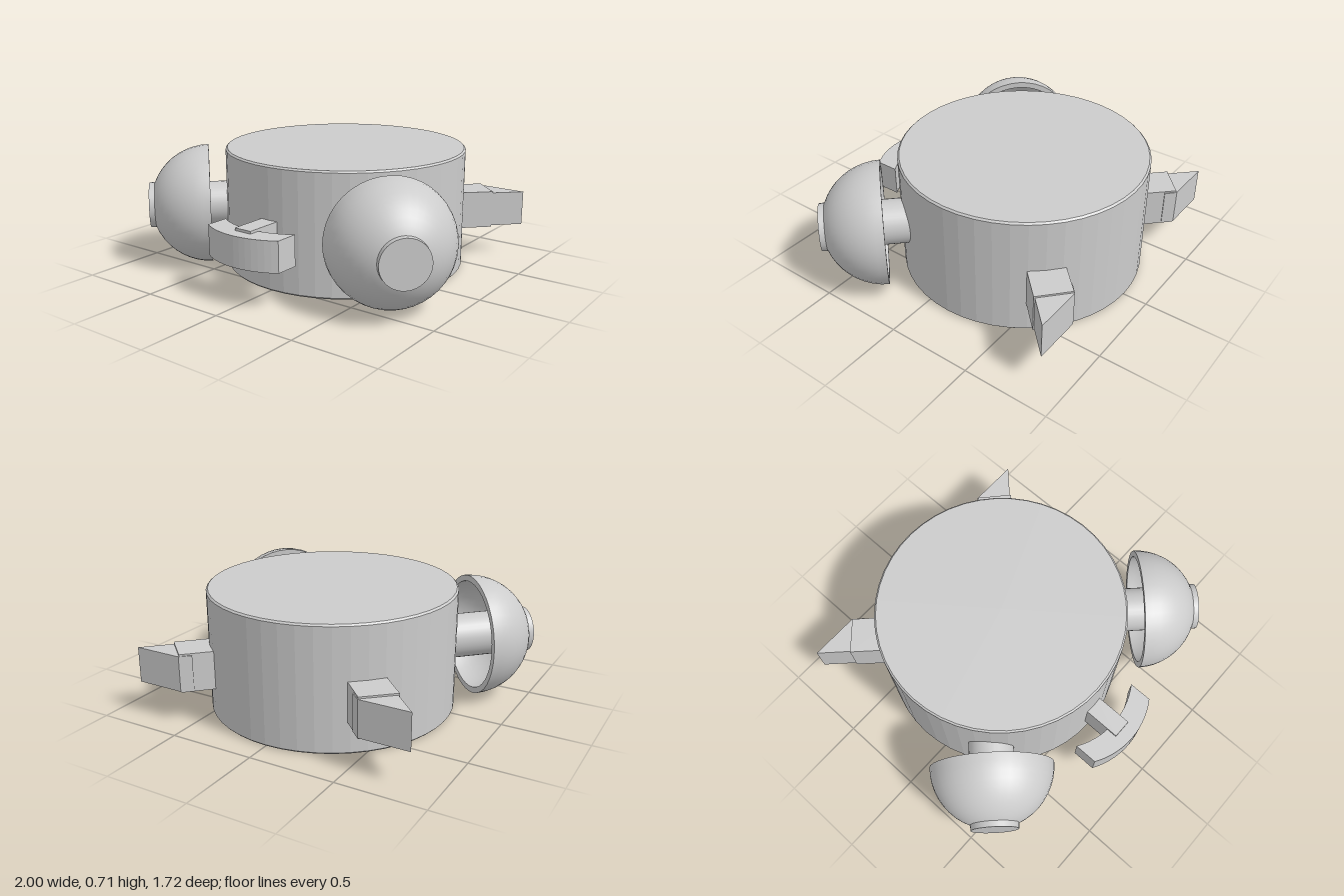
import * as THREE from 'three';
import { toCreasedNormals } from 'three/addons/utils/BufferGeometryUtils.js';

const CZ = -0.145; // body axis in z
const material = new THREE.MeshStandardMaterial({ color: 0xcccccc });

function add(parent, name, geometry, x = 0, y = 0, z = 0) {
  const mesh = new THREE.Mesh(geometry, material);
  mesh.name = name;
  mesh.position.set(x, y, z);
  parent.add(mesh);
  return mesh;
}

function lathe(points, sides, crease) {
  const profile = points.map(([r, y]) => new THREE.Vector2(r, y));
  return toCreasedNormals(new THREE.LatheGeometry(profile, sides), crease);
}

// Plan outline in (x, z) raised from y0 to y1
function slab(points, y0, y1) {
  const shape = new THREE.Shape(points.map(([x, z]) => new THREE.Vector2(x, -z)));
  const geometry = new THREE.ExtrudeGeometry(shape, { depth: y1 - y0, bevelEnabled: false });
  return geometry.rotateX(-Math.PI / 2).translate(0, y0, 0);
}

function arc(cx, cz, r, a0, a1, n) {
  return Array.from({ length: n + 1 }, (_, i) => {
    const a = a0 + (a1 - a0) * i / n;
    return [cx + r * Math.sin(a), cz + r * Math.cos(a)];
  });
}

// Hollow dome with a stem and an end button, opening toward the body
function makeBell(side) {
  const bell = new THREE.Group();
  bell.name = side > 0 ? 'leftBell' : 'rightBell';
  const inner = arc(0, 0, 0.32, 0, Math.PI / 2, 12);
  const outer = arc(0, 0, 0.355, Math.PI / 2, 0, 12);
  add(bell, 'bellDome', lathe([...inner, ...outer], 40, 0.6));
  add(bell, 'bellStem', new THREE.CylinderGeometry(0.13, 0.13, 0.55, 32), 0, 0.05, 0);
  add(bell, 'bellButton', new THREE.CylinderGeometry(0.135, 0.14, 0.08, 32), 0, 0.32, 0);
  bell.quaternion.setFromUnitVectors(
    new THREE.Vector3(0, 1, 0), new THREE.Vector3(side, 0, 1).normalize());
  bell.position.set(side * 0.645, 0.358, 0.36);
  return bell;
}

export function createModel() {
  const model = new THREE.Group();

  // Drum with a recessed face underneath
  add(model, 'drumBody', lathe([
    [0, 0.12], [0.63, 0.12], [0.63, 0], [0.705, 0], [0.715, 0.01],
    [0.715, 0.705], [0.705, 0.715], [0, 0.715],
  ], 48, 0.1), 0, 0, CZ);

  for (const side of [1, -1]) {
    model.add(makeBell(side));

    // Foot: thicker root and a tip cut square with the back
    const foot = new THREE.Group();
    foot.name = side > 0 ? 'leftFoot' : 'rightFoot';
    const mirror = (pts) => pts.map(([x, z]) => [side * x, z]);
    add(foot, 'footRoot', slab(mirror([
      [0.36, -0.66], [0.555, -0.855], [0.71, -0.715], [0.50, -0.505]]), 0.185, 0.41));
    add(foot, 'footTip', slab(mirror([
      [0.50, -0.81], [0.555, -0.86], [0.845, -0.86], [0.66, -0.675]]), 0.192, 0.40));
    model.add(foot);
  }

  // Curved hammer head on a short post
  const hammer = new THREE.Group();
  hammer.name = 'hammer';
  add(hammer, 'hammerHead', slab([
    ...arc(0, 0.391, 0.464, -0.56, 0.56, 14),
    ...arc(0, 0.256, 0.464, 0.56, -0.56, 14),
  ], 0.22, 0.395));
  add(hammer, 'hammerPost', new THREE.BoxGeometry(0.11, 0.21, 0.26), 0, 0.305, 0.65);
  model.add(hammer);

  // Face details hang below the recessed floor
  const face = new THREE.Group();
  face.name = 'face';
  face.position.set(0, 0.12, CZ);
  add(face, 'hub', new THREE.CylinderGeometry(0.085, 0.085, 0.11, 24), 0, -0.045, 0);

  // Small ring markers at the quarter points
  for (let i = 0; i < 4; i++) {
    const a = i * Math.PI / 2;
    const ring = lathe([
      [0.045, 0.01], [0.045, -0.03], [0.075, -0.03], [0.075, 0.01]], 20, 0.5);
    add(face, 'marker' + (i + 1), ring, 0.48 * Math.sin(a), 0, 0.48 * Math.cos(a));
  }

  // Two hands at right angles, each with a block at its tip
  [[0, 0.36], [Math.PI / 2, 0.31]].forEach(([angle, length], i) => {
    const hand = new THREE.Group();
    hand.name = i ? 'shortHand' : 'longHand';
    add(hand, 'handBar', new THREE.BoxGeometry(0.05, 0.05, length), 0, -0.045, length / 2);
    add(hand, 'handTip', new THREE.BoxGeometry(0.12, 0.06, 0.08), 0, -0.045, length);
    hand.rotation.y = angle;
    face.add(hand);
  });
  model.add(face);

  return model;
}
